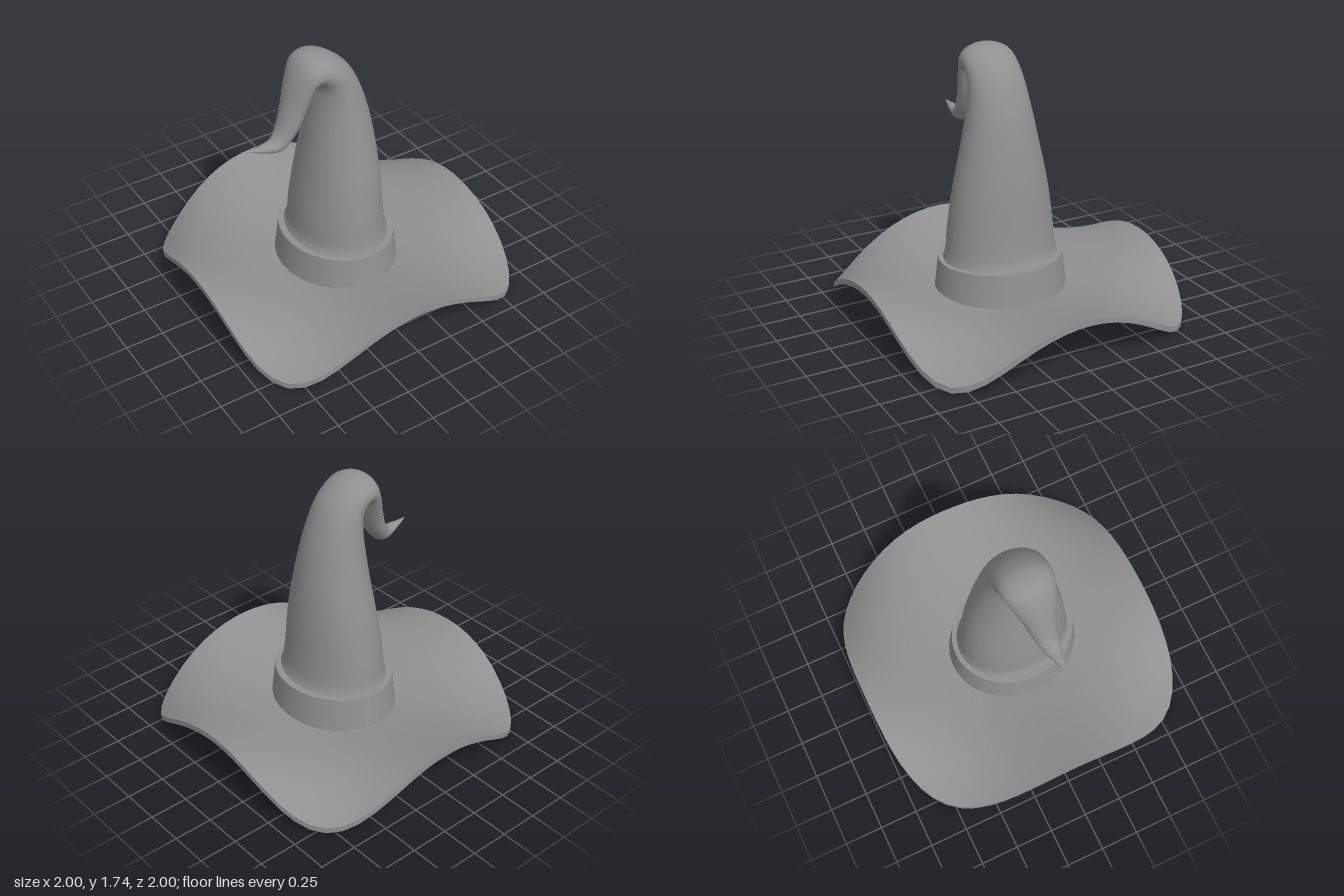
import * as THREE from 'three';
import { mergeGeometries } from 'three/addons/utils/BufferGeometryUtils.js';

const SEG = 72;
const material = new THREE.MeshStandardMaterial({ color: 0x909090 });

// Smooth skin over rows of closed rings; point(row, angle) returns [x, y, z]
function loft(rows, point) {
  const pos = [], index = [];
  for (let i = 0; i < rows; i++) {
    for (let j = 0; j < SEG; j++) {
      pos.push(...point(i, (j / SEG) * Math.PI * 2));
      if (i === rows - 1) continue;
      const a = i * SEG + j, b = i * SEG + ((j + 1) % SEG);
      index.push(a, a + SEG, b, b, a + SEG, b + SEG);
    }
  }
  const g = new THREE.BufferGeometry();
  g.setAttribute('position', new THREE.Float32BufferAttribute(pos, 3));
  g.setIndex(index);
  g.computeVertexNormals();
  return g;
}

// Underside of the brim, t from 0 (centre) to 1 (edge), raised by lift:
// a shallow bowl whose corners droop; the front corners reach further out
function brimPoint(t, angle, lift) {
  const c = Math.cos(angle), s = Math.sin(angle);
  const [n, droop] = s > 0 ? [3.95, 0.735] : [3.1, 0.835];
  const r = t / Math.pow(Math.abs(c) ** n + Math.abs(s) ** n, 1 / n);
  const x = r * c, z = r * s;
  return [x, 0.1 + 0.2 * r ** 1.65 - droop * x * x * z * z + lift, z];
}

function brimGeometry() {
  const rows = 24, thick = 0.038;
  const top = loft(rows + 1, (i, a) => brimPoint(1 - i / rows, a, thick));
  const rim = loft(2, (i, a) => brimPoint(1, a, i * thick));
  const bottom = loft(rows + 1, (i, a) => brimPoint(i / rows, a, 0));
  return mergeGeometries([top, rim, bottom]);
}

// Oval band: sloping wall and flat top, lofted separately so the edge stays sharp
function bandGeometry() {
  const profile = [[0.382, 0.434, 0.17], [0.357, 0.408, 0.395], [0.305, 0.37, 0.395]]; // radius x, radius z, y
  const faces = [0, 1].map((k) => loft(2, (i, a) => {
    const [rx, rz, y] = profile[k + i];
    return [rx * Math.cos(a), y, 0.06 + rz * Math.sin(a)];
  }));
  return mergeGeometries(faces);
}

// Cone that bends over into a drooping curled tip
function coneGeometry() {
  const sections = [ // outer x, outer y, inner x, inner y, half depth, centre z
    [0.335, 0.36, -0.335, 0.36, 0.39, 0.06],
    [0.295, 0.44, -0.295, 0.44, 0.366, 0.06],
    [0.275, 0.6, -0.28, 0.6, 0.35, 0.06],
    [0.255, 0.85, -0.245, 0.85, 0.315, 0.063],
    [0.22, 1.12, -0.21, 1.1, 0.26, 0.065],
    [0.165, 1.37, -0.18, 1.35, 0.21, 0.065],
    [0.07, 1.59, -0.172, 1.48, 0.182, 0.065],
    [-0.06, 1.71, -0.18, 1.53, 0.174, 0.065],
    [-0.17, 1.74, -0.2, 1.545, 0.168, 0.065],
    [-0.265, 1.71, -0.22, 1.52, 0.152, 0.067],
    [-0.33, 1.6, -0.235, 1.45, 0.13, 0.072],
    [-0.385, 1.44, -0.27, 1.34, 0.1, 0.082],
    [-0.43, 1.31, -0.33, 1.245, 0.08, 0.09],
    [-0.48, 1.245, -0.42, 1.165, 0.058, 0.1],
    [-0.55, 1.235, -0.53, 1.18, 0.035, 0.106],
    [-0.65, 1.235, -0.648, 1.23, 0.003, 0.11],
  ];
  const rows = 76;
  const sample = (k) => new THREE.CatmullRomCurve3(
    sections.map((s) => new THREE.Vector3(s[k], s[k + 1], 0)), false, 'catmullrom', 0.5).getPoints(rows - 1);
  const outer = sample(0), inner = sample(2), depth = sample(4);
  return loft(rows, (i, a) => {
    const p = inner[i].clone().lerp(outer[i], (1 + Math.cos(a)) / 2);
    return [p.x, p.y, depth[i].y + depth[i].x * Math.sin(a)];
  });
}

export function createModel() {
  const group = new THREE.Group();
  group.name = 'pointedHat';
  const parts = { brim: brimGeometry(), band: bandGeometry(), cone: coneGeometry() };
  for (const [name, geometry] of Object.entries(parts)) {
    const mesh = new THREE.Mesh(geometry, material);
    mesh.name = name;
    group.add(mesh);
  }
  return group;
}
